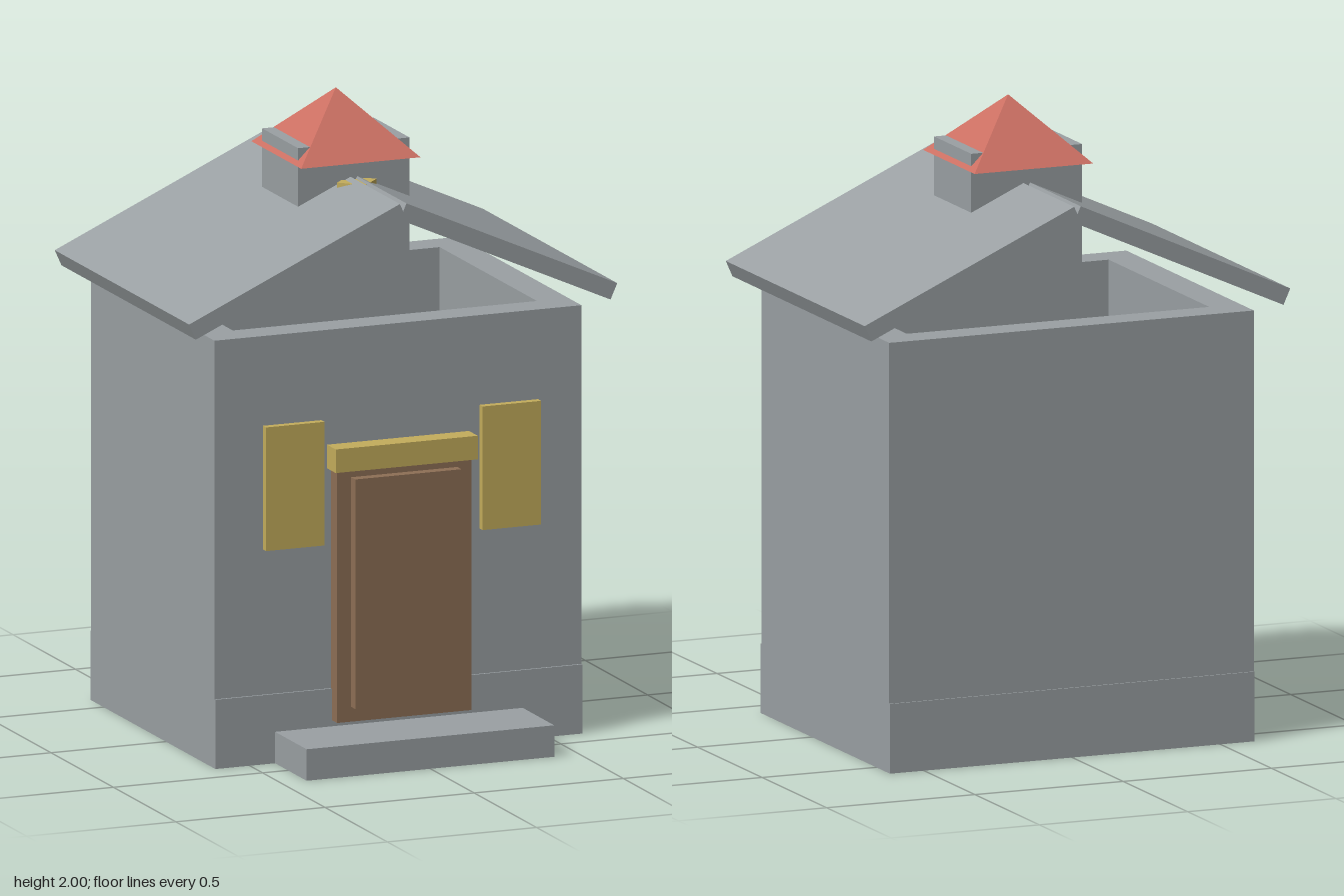
import * as THREE from 'three';

export function createModel() {
  const house = new THREE.Group();
  house.name = 'house';

  const mat = (name, color) => {
    const m = new THREE.MeshStandardMaterial({ color });
    m.name = name;
    return m;
  };
  const stone = mat('stone grey', 0x9aa0a3);
  const ochre = mat('ochre yellow', 0xc4ad5c);
  const wood = mat('door brown', 0x8e6f55);
  const tile = mat('tile red', 0xcb6f62);

  const add = (name, geometry, material) => {
    const mesh = new THREE.Mesh(geometry, material);
    mesh.name = name;
    house.add(mesh);
    return mesh;
  };
  // Box given by its extents
  const box = (name, material, x0, x1, y0, y1, z0, z1) => {
    const mesh = add(name, new THREE.BoxGeometry(x1 - x0, y1 - y0, z1 - z0), material);
    mesh.position.set((x0 + x1) / 2, (y0 + y1) / 2, (z0 + z1) / 2);
    return mesh;
  };

  // Plinth and front step
  box('plinth', stone, -0.615, 0.615, 0, 0.22, -0.605, 0.397);
  box('frontStep', stone, -0.415, 0.415, 0, 0.1, 0.38, 0.65);

  // Walls, hollow and open at the top
  const rect = (path, x, z0, z1) =>
    path.moveTo(-x, z0).lineTo(x, z0).lineTo(x, z1).lineTo(-x, z1).closePath();
  const plan = rect(new THREE.Shape(), 0.615, -0.39, 0.6);
  plan.holes.push(rect(new THREE.Path(), 0.51, -0.285, 0.495));
  const walls = new THREE.ExtrudeGeometry(plan, { depth: 1.14, bevelEnabled: false });
  walls.rotateX(-Math.PI / 2);
  add('walls', walls, stone).position.y = 0.22;

  // Door
  box('doorFrame', wood, -0.225, 0.225, 0.12, 0.95, 0.38, 0.44);
  box('doorPanel', wood, -0.178, 0.178, 0.167, 0.897, 0.43, 0.473);
  box('lintel', ochre, -0.238, 0.238, 0.92, 0.995, 0.38, 0.46);

  for (const [side, s] of [['left', 1], ['right', -1]]) {
    // Window: grey backing with a yellow pane
    const cx = s * 0.363;
    box(side + 'WindowBacking', stone, cx - 0.07, cx + 0.07, 0.72, 1.05, 0.38, 0.415);
    box(side + 'Window', ochre, cx - 0.098, cx + 0.098, 0.687, 1.08, 0.41, 0.435);

    // Sloping roof slab
    const slab = add(side + 'RoofSlab', new THREE.BoxGeometry(0.775, 0.055, 1.077), stone);
    slab.position.set(s * 0.353, 1.564, -0.107);
    slab.rotation.z = -s * Math.atan2(0.318, 0.706);
  }

  // Ridge turret with a pyramid cap
  box('turret', stone, -0.187, 0.187, 1.477, 1.855, -0.252, 0.036);
  const cap = new THREE.ConeGeometry(0.2 * Math.SQRT2, 0.197, 4).toNonIndexed();
  cap.computeVertexNormals();
  cap.rotateY(Math.PI / 4);
  add('turretCap', cap, tile).position.set(0, 1.9015, -0.108);

  // Small diamond-set block on the turret front
  const lamp = add('turretLamp', new THREE.BoxGeometry(0.094, 0.18, 0.094), ochre);
  lamp.position.set(0, 1.65, 0.06);
  lamp.rotation.y = Math.PI / 4;

  return house;
}
